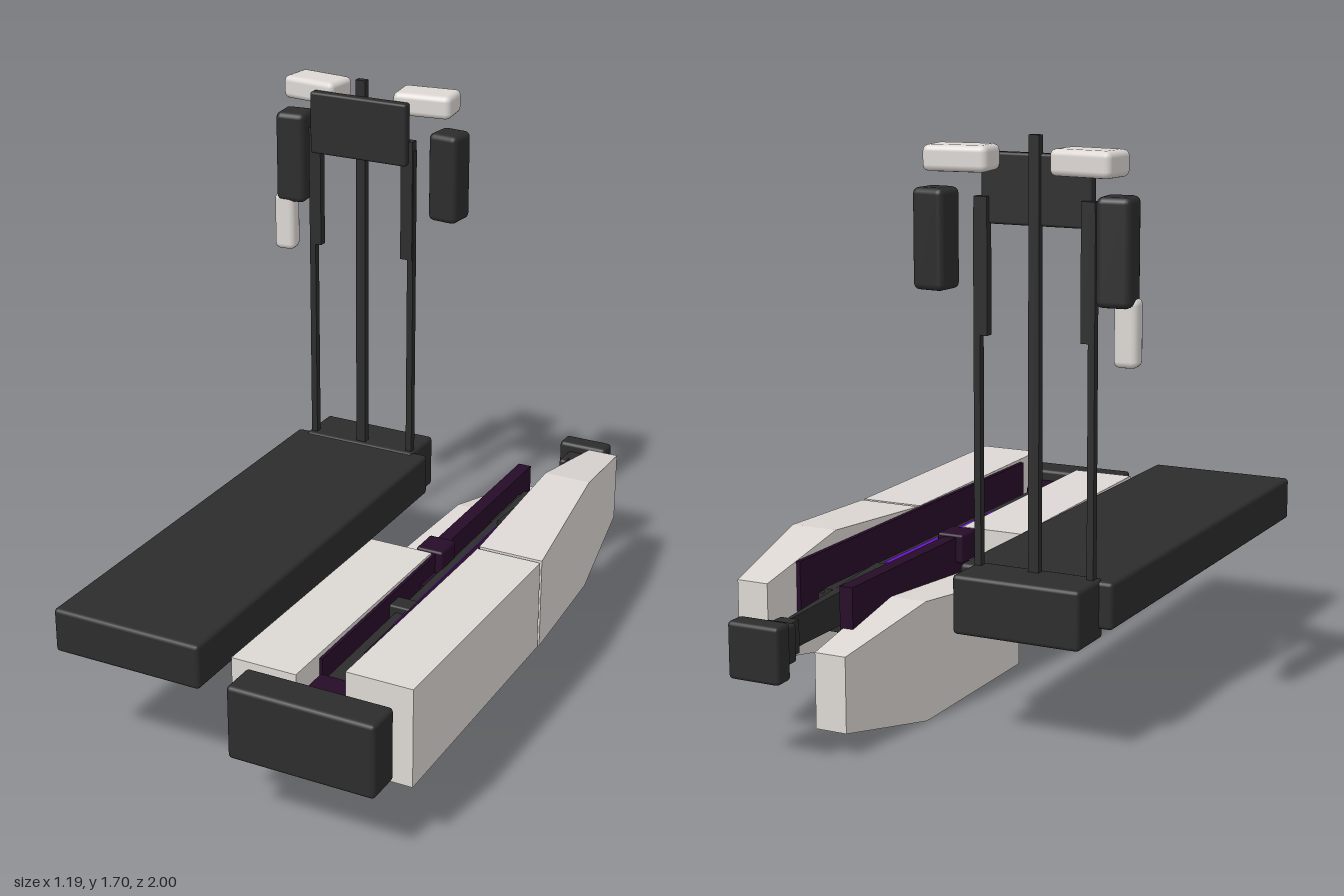
import * as THREE from 'three';
import { RoundedBoxGeometry } from 'three/addons/geometries/RoundedBoxGeometry.js';

const mat = (name, color) => {
  const m = new THREE.MeshStandardMaterial({ color });
  m.name = name;
  return m;
};

export function createModel() {
  const model = new THREE.Group();
  const dark = mat('charcoal', 0x2c2c2c);
  const pale = mat('warm white', 0xdcd7d3);
  const plum = mat('dark plum', 0x260c28);
  const violet = mat('violet', 0x6a10d0);

  const add = (name, geometry, material) => {
    const mesh = new THREE.Mesh(geometry, material);
    mesh.name = name;
    model.add(mesh);
    return mesh;
  };
  // Box given by its extents, with optional rounded edges
  const box = (name, material, x0, x1, y0, y1, z0, z1, r = 0) => {
    const s = [x1 - x0, y1 - y0, z1 - z0];
    const g = r ? new RoundedBoxGeometry(...s, 2, r) : new THREE.BoxGeometry(...s);
    const mesh = add(name, g, material);
    mesh.position.set((x0 + x1) / 2, (y0 + y1) / 2, (z0 + z1) / 2);
    return mesh;
  };
  // Solid through rectangular sections [z, x0, x1, y0, y1], ordered front to back
  const loft = (name, material, sections) => {
    const rings = sections.map(([z, x0, x1, y0, y1]) =>
      [[x0, y0, z], [x1, y0, z], [x1, y1, z], [x0, y1, z]]);
    const pos = [];
    const quad = (a, b, c, d) => [a, b, c, a, c, d].forEach((p) => pos.push(...p));
    quad(...rings[0]);
    for (let i = 0; i + 1 < rings.length; i++) {
      for (let k = 0; k < 4; k++) {
        const n = (k + 1) % 4;
        quad(rings[i][k], rings[i + 1][k], rings[i + 1][n], rings[i][n]);
      }
    }
    quad(...rings[rings.length - 1].slice().reverse());
    const g = new THREE.BufferGeometry();
    g.setAttribute('position', new THREE.Float32BufferAttribute(pos, 3));
    g.computeVertexNormals();
    return add(name, g, material);
  };

  // Long platform and the mast foot behind it
  box('platform', dark, -0.5, -0.03, 0.36, 0.495, -0.47, 0.935, 0.012);
  box('mastFoot', dark, -0.46, -0.075, 0.33, 0.5, -0.6, -0.44, 0.012);

  // Mast: centre pole, two side poles with sleeves, console
  box('centrePole', dark, -0.282, -0.25, 0.49, 1.7, -0.48, -0.458);
  for (const side of [-1, 1]) {
    const x = -0.266 + side * 0.172;
    box('sidePole', dark, x - 0.01, x + 0.01, 0.49, 1.5, -0.482, -0.46);
    const sx = -0.266 + side * 0.16;
    box('poleSleeve', dark, sx - 0.02, sx + 0.02, 1.15, 1.53, -0.482, -0.456);
  }
  box('console', dark, -0.43, -0.1, 1.455, 1.65, -0.468, -0.434, 0.008);

  // Pads around the console, angled slightly
  const pads = [
    ['rightSidePad', dark, -0.585, -0.488, 1.265, 1.555, -0.58, -0.482, 0.1],
    ['leftSidePad', dark, -0.046, 0.052, 1.278, 1.556, -0.58, -0.482, -0.1],
    ['rightTopPad', pale, -0.548, -0.362, 1.602, 1.674, -0.592, -0.476, -0.12],
    ['leftTopPad', pale, -0.17, 0.016, 1.602, 1.674, -0.592, -0.476, 0.12],
    ['rightLowerPad', pale, -0.593, -0.525, 1.103, 1.288, -0.543, -0.482, 0.1],
  ];
  for (const [name, m, ...e] of pads) {
    box(name, m, ...e.slice(0, 6), 0.018).rotation.y = e[6];
  }

  // Front and rear casing shells; the right pair is mirrored and set lower
  const mid = 0.3175;
  const shell = (name, side, drop, rows) => loft(name, pale, rows.map(([z, inner, outer, y0, y1]) => {
    const xs = [mid + side * inner, mid + side * outer].sort((a, b) => a - b);
    return [z, ...xs, y0 - drop, y1 - drop];
  }));
  const frontRows = [[0.88, 0.075, 0.275, 0.208, 0.506], [0.058, 0.075, 0.275, 0.22, 0.497]];
  const rearRows = [
    [0.045, 0.075, 0.275, 0.216, 0.497],
    [-0.44, 0.075, 0.222, 0.177, 0.535],
    [-0.805, 0.075, 0.172, 0.247, 0.467],
  ];
  shell('leftFrontShell', 1, 0, frontRows);
  shell('leftRearShell', 1, 0, rearRows);
  shell('rightFrontShell', -1, 0.05, frontRows);
  shell('rightRearShell', -1, 0.176, rearRows);

  // Inner rails
  box('leftRail', plum, 0.38, 0.394, 0.27, 0.495, -0.655, 0.75);
  box('rightRearRail', plum, 0.21, 0.252, 0.25, 0.44, -0.655, 0.04);
  box('rightFrontRail', plum, 0.24, 0.252, 0.22, 0.44, 0.04, 0.75);
  box('gapPanel', plum, 0.38, 0.575, 0.25, 0.485, 0.046, 0.057);

  // Central beam with its light strip, brackets and tapering spear
  box('beam', dark, 0.272, 0.362, 0.27, 0.395, -0.56, 0.78);
  box('lightStrip', violet, 0.304, 0.331, 0.39, 0.405, -0.27, 0.43);
  box('stripClamp', dark, 0.25, 0.33, 0.36, 0.415, 0.29, 0.35, 0.006);
  box('crossBracket', plum, 0.25, 0.388, 0.3, 0.385, 0.06, 0.15);
  box('rearBracket', plum, 0.25, 0.388, 0.3, 0.385, -0.02, 0.05);
  box('sideBracket', plum, 0.188, 0.275, 0.36, 0.45, -0.045, 0.05, 0.008);
  box('frontBracket', plum, 0.257, 0.378, 0.28, 0.41, 0.77, 0.88, 0.008);
  box('beamWings', dark, 0.255, 0.38, 0.3, 0.38, -0.56, -0.34);
  loft('spear', dark, [[-0.3, 0.295, 0.34, 0.3, 0.41], [-0.82, 0.312, 0.323, 0.29, 0.38]]);

  // Wedge keel hanging under the beam
  const keel = new THREE.Shape([[0.272, 0.28], [0.272, 0.22], [0.292, 0.176], [0.343, 0.176],
    [0.363, 0.22], [0.363, 0.28]].map(([x, y]) => new THREE.Vector2(x, y)));
  add('keel', new THREE.ExtrudeGeometry(keel, { depth: 0.08, bevelEnabled: false }), dark)
    .position.z = -0.49;

  // Front block and stepped rear knob
  box('frontBlock', dark, 0.095, 0.54, 0.22, 0.443, 0.885, 1, 0.012);
  box('rearNeck', dark, 0.288, 0.347, 0.285, 0.38, -0.86, -0.81);
  box('rearCollar', dark, 0.268, 0.362, 0.275, 0.385, -0.94, -0.855, 0.008);
  box('rearKnob', dark, 0.236, 0.397, 0.25, 0.413, -1, -0.934, 0.012);

  return model;
}
